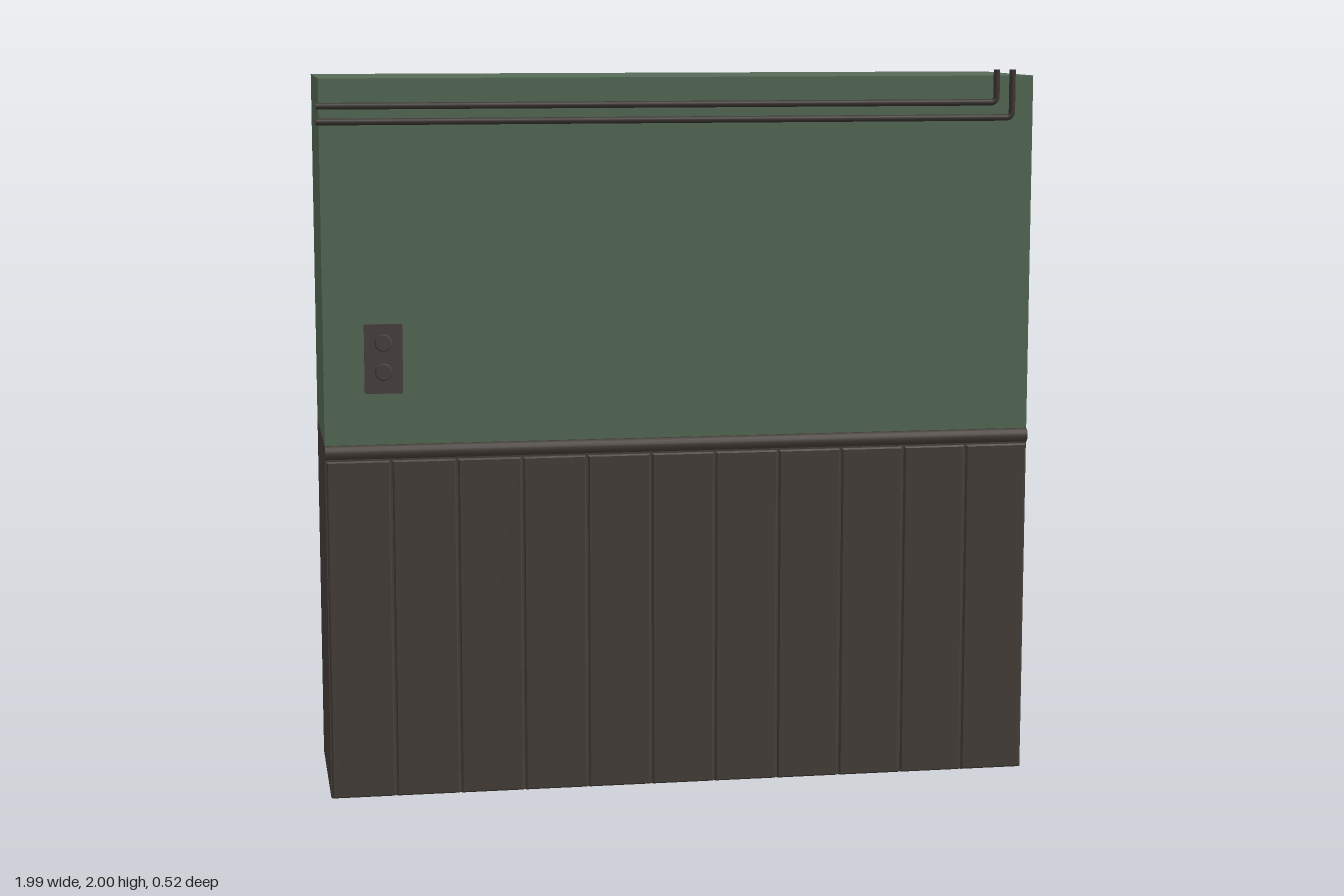
import * as THREE from 'three';

const material = (name, color) => {
  const m = new THREE.MeshStandardMaterial({ color });
  m.name = name;
  return m;
};

export function createModel() {
  const root = new THREE.Group();
  root.name = 'wallSection';
  const green = material('green paint', 0x566b57);
  const brown = material('brown wood', 0x47403a);
  const plateBrown = material('switch brown', 0x4a4240);
  const pipeDark = material('dark pipe', 0x3c3733);

  const add = (name, geometry, mat, x, y, z, parent = root) => {
    const mesh = new THREE.Mesh(geometry, mat);
    mesh.name = name;
    mesh.position.set(x, y, z);
    parent.add(mesh);
    return mesh;
  };

  const left = -0.987, right = 0.992, width = right - left, midX = (left + right) / 2;
  const back = -0.262, front = 0.232, depth = front - back, midZ = (front + back) / 2;
  const split = 0.99, top = 1.983;

  // Wall core: painted upper half, wooden lower half
  add('upperWall', new THREE.BoxGeometry(width, top - split, depth), green, midX, (top + split) / 2, midZ);
  add('lowerWall', new THREE.BoxGeometry(width, split, depth), brown, midX, split / 2, midZ);

  // Bevelled wainscot boards with narrow grooves between them
  const boards = new THREE.Group();
  boards.name = 'wainscotBoards';
  root.add(boards);
  const count = 11, pitch = width / count, bevel = 0.004;
  const w = pitch - 0.006 - bevel * 2, h = 0.946 - bevel * 2;
  const outline = new THREE.Shape([
    new THREE.Vector2(-w / 2, -h / 2), new THREE.Vector2(w / 2, -h / 2),
    new THREE.Vector2(w / 2, h / 2), new THREE.Vector2(-w / 2, h / 2),
  ]);
  const boardGeometry = new THREE.ExtrudeGeometry(outline, {
    depth: 0.006, bevelEnabled: true, bevelSize: bevel, bevelThickness: bevel, bevelSegments: 1,
  });
  for (let i = 0; i < count; i++) {
    add('board', boardGeometry, brown, left + pitch * (i + 0.5), 0.473, front - 0.001, boards);
  }

  // Rounded chair rail along the top of the boards
  const rail = add('chairRail', new THREE.CylinderGeometry(0.02, 0.02, width, 16), brown, midX, 0.97, front - 0.004);
  rail.rotation.z = Math.PI / 2;

  // Switch plate with two round knobs
  const plate = new THREE.Group();
  plate.name = 'switchPlate';
  root.add(plate);
  add('plate', new THREE.BoxGeometry(0.104, 0.19, 0.008), plateBrown, -0.824, 1.226, front + 0.002, plate);
  for (const y of [1.19, 1.27]) {
    const knob = add('knob', new THREE.CylinderGeometry(0.021, 0.025, 0.008, 24), plateBrown, -0.824, y, front + 0.008, plate);
    knob.rotation.x = Math.PI / 2;
  }

  // Two pipes that run along the wall and turn upwards
  const pipeZ = 0.253, r = 0.009, bend = 0.016, start = -0.995;
  const addPipe = (y, x) => {
    const pipe = new THREE.Group();
    pipe.name = 'pipe';
    root.add(pipe);
    const run = x - bend - start, rise = 2 - y - bend;
    const flat = add('pipeRun', new THREE.CylinderGeometry(r, r, run, 12), pipeDark, start + run / 2, y, pipeZ, pipe);
    flat.rotation.z = Math.PI / 2;
    add('pipeRise', new THREE.CylinderGeometry(r, r, rise, 12), pipeDark, x, 2 - rise / 2, pipeZ, pipe);
    const elbow = add('pipeElbow', new THREE.TorusGeometry(bend, r, 12, 8, Math.PI / 2), pipeDark, x - bend, y + bend, pipeZ, pipe);
    elbow.rotation.z = -Math.PI / 2;
  };
  addPipe(1.91, 0.881);
  addPipe(1.868, 0.926);

  return root;
}
